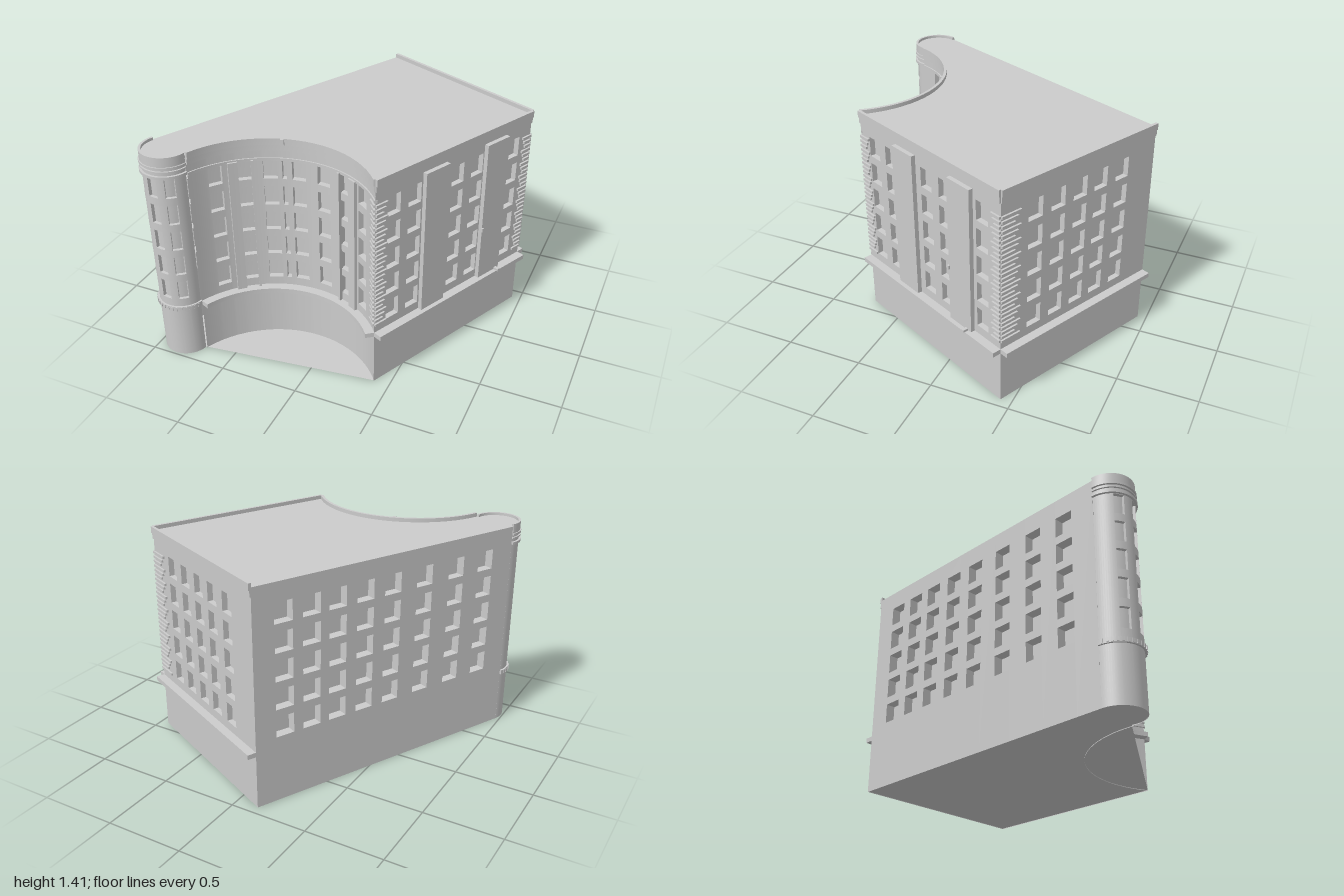
import * as THREE from 'three';
import { toCreasedNormals } from 'three/addons/utils/BufferGeometryUtils.js';

const material = new THREE.MeshStandardMaterial({ color: 0xcccccc, side: THREE.DoubleSide });
const ROOF = 1.385;
const ROWS = [0, 1, 2, 3, 4].map(i => [0.43 + i * 0.177, 0.557 + i * 0.177]);

// Each facade maps u (metres along it, left to right seen from outside) and d (outward offset) to [x, z]
function straight(a, b) {
  const length = Math.hypot(b[0] - a[0], b[1] - a[1]);
  const dx = (b[0] - a[0]) / length, dz = (b[1] - a[1]) / length;
  return { length, step: 9, at: (u, d) => [a[0] + dx * u - dz * d, a[1] + dz * u + dx * d] };
}
function curved(cx, cz, r, t0, t1, sign) { // sign 1: convex, -1: concave
  return {
    length: (t1 - t0) * r, step: r * 0.09,
    at: (u, d) => {
      const t = t0 + u / r, p = r + sign * d;
      return [cx + p * Math.sin(t), cz + sign * p * Math.cos(t)];
    },
  };
}

const A = [-0.145, -0.945], B = [0.945, -0.43], Q = [0.4, 0.73], L = [-0.975, 0.775];
const leftSide = straight(A, L);
const tower = curved(-0.845, 0.84, 0.145, -2.03, 1.38, 1);
const curve = curved(-0.105, 1.11, 0.633, -1.182, 0.925, -1);
const rightSide = straight(Q, B);
const backSide = straight(B, A);

function builder(path) {
  const pos = [];
  return {
    // corners are [u, y, d], counter-clockwise from the visible side
    quad(...c) {
      const p = c.map(([u, y, d]) => { const [x, z] = path.at(u, d); return [x, y, z]; });
      for (const i of [0, 1, 2, 0, 2, 3]) pos.push(...p[i]);
    },
    mesh(name) {
      const g = new THREE.BufferGeometry();
      g.setAttribute('position', new THREE.Float32BufferAttribute(pos, 3));
      const m = new THREE.Mesh(toCreasedNormals(g, 0.5), material);
      m.name = name;
      return m;
    },
  };
}

function breaks(path, u0, u1, extra = []) {
  const n = Math.max(1, Math.ceil((u1 - u0) / path.step));
  const list = [...extra];
  for (let i = 0; i <= n; i++) {
    const u = u0 + (u1 - u0) * i / n;
    if (!extra.some(e => Math.abs(e - u) < 0.004)) list.push(u);
  }
  return list.sort((a, b) => a - b);
}

// Wall with recessed windows; columns are [centre, width]
function wall(name, path, columns, depth) {
  const b = builder(path), D = -depth;
  const cols = columns.map(([c, w]) => [c - w / 2, c + w / 2]);
  const us = breaks(path, 0, path.length, cols.flat());
  for (let i = 0; i + 1 < us.length; i++) {
    const p = us[i], q = us[i + 1], mid = (p + q) / 2;
    const flat = (y0, y1, d) => b.quad([p, y0, d], [q, y0, d], [q, y1, d], [p, y1, d]);
    const col = cols.find(c => mid > c[0] && mid < c[1]);
    if (!col) { flat(0, ROOF, 0); continue; }
    let y = 0;
    for (const [y0, y1] of ROWS) {
      flat(y, y0, 0);
      flat(y0, y1, D);
      b.quad([p, y0, 0], [q, y0, 0], [q, y0, D], [p, y0, D]);
      b.quad([p, y1, D], [q, y1, D], [q, y1, 0], [p, y1, 0]);
      if (p === col[0]) b.quad([p, y0, 0], [p, y0, D], [p, y1, D], [p, y1, 0]);
      if (q === col[1]) b.quad([q, y0, D], [q, y0, 0], [q, y1, 0], [q, y1, D]);
      y = y1;
    }
    flat(y, ROOF, 0);
  }
  return b.mesh(name);
}

// Solid strip that follows a facade
function band(name, path, u0, u1, y0, y1, d0, d1) {
  const b = builder(path), us = breaks(path, u0, u1);
  for (let i = 0; i + 1 < us.length; i++) {
    const p = us[i], q = us[i + 1];
    b.quad([p, y0, d1], [q, y0, d1], [q, y1, d1], [p, y1, d1]);
    b.quad([q, y0, d0], [p, y0, d0], [p, y1, d0], [q, y1, d0]);
    b.quad([p, y1, d1], [q, y1, d1], [q, y1, d0], [p, y1, d0]);
    b.quad([p, y0, d0], [q, y0, d0], [q, y0, d1], [p, y0, d1]);
  }
  b.quad([u1, y0, d1], [u1, y0, d0], [u1, y1, d0], [u1, y1, d1]);
  b.quad([u0, y0, d0], [u0, y0, d1], [u0, y1, d1], [u0, y1, d0]);
  return b.mesh(name);
}

function plate(name, paths, y) {
  const pts = [];
  for (const p of paths) for (const u of breaks(p, 0, p.length)) {
    const [x, z] = p.at(u, 0);
    pts.push(new THREE.Vector2(x, -z));
  }
  const m = new THREE.Mesh(new THREE.ShapeGeometry(new THREE.Shape(pts)).rotateX(-Math.PI / 2), material);
  m.position.y = y;
  m.name = name;
  return m;
}

export function createModel() {
  const g = new THREE.Group();
  g.name = 'building';
  const deg = 0.633 * Math.PI / 180, mid = curve.length / 2;

  // Walls and their windows
  const evenly = (list, w) => list.map(c => [c, w]);
  g.add(wall('leftWall', leftSide, evenly([0.2, 0.385, 0.565, 0.76, 0.96, 1.2, 1.45, 1.69], 0.12), 0.06));
  g.add(wall('towerWall', tower, evenly([-0.98, -0.1, 0.65].map(t => (t + 2.03) * 0.145), 0.062), 0.02));
  g.add(wall('curvedWall', curve, [
    ...evenly([-45, -29.5, -15.5, 0, 14.5, 29, 43.5].map(a => mid + a * deg), 0.085),
    [mid - 8 * deg, 0.027]], 0.035));
  g.add(wall('rightWall', rightSide, evenly([0.138, 0.298, 0.643, 0.807, 1.13], 0.1), 0.035));
  g.add(wall('backWall', backSide, evenly([0.25, 0.42, 0.59, 0.755, 0.93], 0.105), 0.035));

  // Roof, and the floor that runs straight across the curved front
  g.add(plate('roof', [leftSide, tower, curve, rightSide, backSide], ROOF));
  g.add(plate('floor', [leftSide, tower, rightSide, backSide], 0.004));

  // Ledge above the base, cornice and parapet
  for (const [side, p] of [['curved', curve], ['right', rightSide], ['back', backSide]]) {
    g.add(band(side + 'Ledge', p, 0, p.length, 0.345, 0.375, -0.01, 0.055));
    g.add(band(side + 'Cornice', p, 0, p.length, 1.33, 1.368, -0.01, 0.008));
    g.add(band(side + 'Parapet', p, 0, p.length, 1.368, 1.41, -0.005, 0.014));
  }

  // Tower rings
  for (const [y0, y1, d] of [[0.345, 0.375, 0.012], [1.268, 1.285, 0.014], [1.305, 1.315, 0.01],
    [1.328, 1.342, 0.012], [1.342, 1.402, 0.005]])
    g.add(band('towerRing', tower, 0, tower.length, y0, y1, -0.01, d));
  for (let i = 0; i < 18; i++) {
    const u = 0.02 + i * 0.026;
    g.add(band('towerLedgeBlock', tower, u, u + 0.012, 0.348, 0.372, 0, 0.016));
  }

  // Broad pilasters on the right, slim pairs on the curve
  for (const [u0, u1] of [[0.359, 0.547], [0.865, 1.055]])
    g.add(band('rightPilaster', rightSide, u0, u1, 0.375, 1.32, -0.01, 0.028));
  for (const s of [-1, 1]) {
    const near = mid + s * 25 * deg, far = mid + s * 35.5 * deg;
    g.add(band('curvedPilaster', curve, near - 0.008, near + 0.008, 0.375, 1.27, -0.01, 0.02));
    g.add(band('curvedPilaster', curve, far - 0.03, far + 0.03, 0.375, 1.27, -0.01, 0.02));
  }
  g.add(band('curvedFrieze', curve, 0, curve.length, 1.262, 1.28, -0.01, 0.008));

  // Corner slats of alternating length
  for (let i = 0; i < 28; i++) {
    const y = 0.425 + i * 0.03, k = [1, 0.7, 0.85][i % 3];
    const slat = (p, u0, u1) => g.add(band('cornerSlat', p, u0, u1, y, y + 0.015, -0.005, 0.012));
    slat(rightSide, 0, 0.085 * k);
    slat(rightSide, rightSide.length - 0.075 * k, rightSide.length);
    slat(backSide, 0, 0.14 * k);
    slat(curve, curve.length - 0.075 * k, curve.length);
  }

  // Small fittings
  g.add(band('ledgeLamp', rightSide, 1.01, 1.03, 0.375, 0.39, 0.03, 0.065));
  g.add(band('wallLamp', rightSide, 0.86, 0.875, 0.725, 0.75, 0.02, 0.038));
  g.add(band('parapetBlock', curve, mid - 9 * deg, mid - 7 * deg, 1.37, 1.41, 0, 0.028));
  return g;
}
